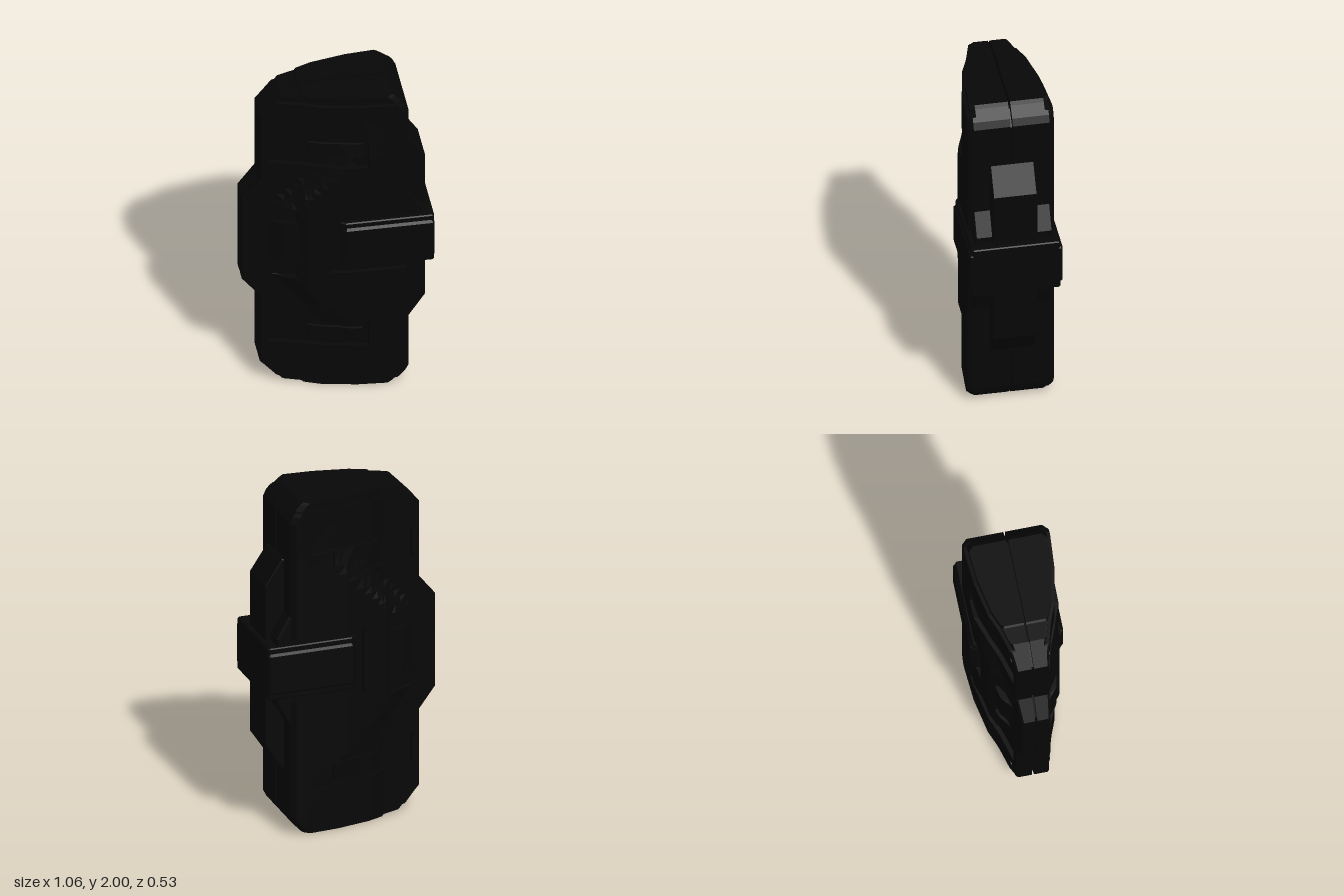
import * as THREE from 'three';

const black = new THREE.MeshStandardMaterial({ color: 0x070707 });
black.name = 'matte black';
black.flatShading = true;

// Piecewise linear lookup through [input, output] pairs
function lerpTable(table, v) {
  if (v <= table[0][0]) return table[0][1];
  for (let i = 1; i < table.length; i++) {
    const [a, p] = table[i - 1], [b, q] = table[i];
    if (v <= b) return p + (q - p) * (v - a) / (b - a);
  }
  return table[table.length - 1][1];
}

// Half thickness across x: the central bulge, and the slimmer ends
const bulge = [[-0.53, 0.08], [-0.38, 0.1], [-0.3, 0.16], [-0.23, 0.175], [-0.19, 0.2],
  [0, 0.23], [0.05, 0.241], [0.39, 0.245]];
const slim = [[-0.53, 0.08], [-0.38, 0.1], [-0.2, 0.15], [-0.1, 0.19], [0.1, 0.23], [0.3, 0.245]];
// Left / right outline by distance from mid height
const leftEdge = [[0.28, -0.53], [0.4, -0.43], [0.86, -0.43], [0.985, -0.31], [0.99, -0.21], [1, -0.2]];
const rightEdge = [[0.89, 0.39], [0.93, 0.37], [0.985, 0.32], [1, 0.3]];
const GAP = 0.006;

// Recesses: x from, x to, |y - 1| from, |y - 1| to, depth (negative raises)
const recesses = [
  [-0.38, 0.16, 0.535, 0.715, 0.025],
  [-0.17, 0.13, 0.59, 0.69, -0.012],
  [-0.05, 0.6, -1, 0.19, 0.02],
];
// Grooves cut through the bulge down to the slim profile
const groove = [-0.38, -0.23, 0.135, 0.24];

const inside = ([x0, x1, v0, v1], x, v) =>
  x > x0 + 0.001 && x < x1 - 0.001 && v > v0 + 0.001 && v < v1 - 0.001;

function surfaceZ(x, v) {
  // the bulge fades out past a diagonal fold
  const fade = inside(groove, x, v) ? 1 : THREE.MathUtils.clamp((v - x - 0.5) / 0.12, 0, 1);
  let z = THREE.MathUtils.lerp(lerpTable(bulge, x), lerpTable(slim, x), fade);
  for (const r of recesses) if (inside(r, x, v)) z -= r[4];
  return v > 0.951 ? z - 0.02 : z;
}

// One half shell, lofted upward from horizontal cross-sections
function shellGeometry(side) {
  const xs = [-0.43, -0.34, -0.3, -0.26, -0.19, -0.14, -0.1, 0, 0.05, 0.1, 0.3];
  const vs = [0, 0.28, 0.32, 0.36, 0.4, 0.44, 0.5, 0.6, 0.86, 0.89, 0.93, 0.95, 0.953, 0.985, 0.99, 1];
  for (const [x0, x1, v0, v1] of [...recesses, groove]) {
    xs.push(x0, x0 + 0.003);
    if (x1 < 0.4) xs.push(x1 - 0.003, x1);
    if (v0 > 0) vs.push(v0, v0 + 0.003);
    vs.push(v1 - 0.003, v1);
  }
  xs.sort((a, b) => a - b);
  vs.sort((a, b) => a - b);
  const levels = [...vs.slice(1).reverse().map(v => -v), ...vs];

  const rows = levels.map(level => {
    const v = Math.abs(level), l = lerpTable(leftEdge, v), r = lerpTable(rightEdge, v);
    const row = [[l, GAP], [l, surfaceZ(l, v) - 0.01]];
    for (const x of [l + 0.01, ...xs, r - 0.03]) {
      const cx = Math.min(Math.max(x, l + 0.01), r - 0.03);
      row.push([cx, surfaceZ(cx, v)]);
    }
    row.push([r, surfaceZ(r, v) - 0.03], [r, GAP]);
    return row.map(([x, z]) => [x, 1 + level, z * side]);
  });
  // flat end caps
  const cap = row => row.map(([x, y]) => [x, y, GAP * side]);
  rows.unshift(cap(rows[0]));
  rows.push(cap(rows[rows.length - 1]));

  const n = rows[0].length, index = [];
  for (let i = 0; i < rows.length - 1; i++) {
    for (let j = 0; j < n; j++) {
      const a = i * n + j, b = i * n + (j + 1) % n, c = a + n, d = b + n;
      if (side > 0) index.push(a, b, c, b, d, c);
      else index.push(a, c, b, b, c, d);
    }
  }
  let g = new THREE.BufferGeometry();
  g.setAttribute('position', new THREE.Float32BufferAttribute(rows.flat(2), 3));
  g.setIndex(index);
  g = g.toNonIndexed();
  g.computeVertexNormals();
  return g;
}

// Outline in x and y, extruded evenly about z = 0
function plate(points, halfDepth, bevel) {
  const shape = new THREE.Shape(points.map(([x, y]) => new THREE.Vector2(x, y)));
  const g = new THREE.ExtrudeGeometry(shape, {
    depth: 2 * (halfDepth - bevel), bevelEnabled: bevel > 0,
    bevelSize: bevel, bevelOffset: -bevel, bevelThickness: bevel, bevelSegments: 1,
  });
  return g.translate(0, 0, bevel - halfDepth);
}

// Block with sloped front corners seen from above, laid flat at clamp height
function clampBlock(halfZ, halfY, bevel) {
  return plate([[0, -0.23], [0.03, -halfZ], [0.52, -halfZ], [0.53, 0.01 - halfZ],
    [0.53, halfZ - 0.01], [0.52, halfZ], [0.03, halfZ], [0, 0.23]], halfY, bevel)
    .rotateX(Math.PI / 2).translate(0, 1.007, 0);
}

export function createModel() {
  const group = new THREE.Group();
  const add = (name, geometry) => {
    const mesh = new THREE.Mesh(geometry, black);
    mesh.name = name;
    group.add(mesh);
    return mesh;
  };

  // Two shells with a seam between them, joined by an inner core
  add('frontShell', shellGeometry(1));
  add('backShell', shellGeometry(-1));
  add('innerCore', plate([[-0.5, 0.74], [-0.41, 0.62], [-0.41, 0.16], [-0.3, 0.05], [0.3, 0.05],
    [0.37, 0.13], [0.37, 1.87], [0.3, 1.95], [-0.3, 1.95], [-0.41, 1.84], [-0.41, 1.38], [-0.5, 1.26]], 0.02, 0));

  // Raised spine and the wider shoulder behind the clamp
  add('spine', plate([[0.3, 0.37], [0.4, 0.37], [0.5, 0.52], [0.5, 1.49], [0.4, 1.64], [0.3, 1.64]], 0.125, 0.005));
  add('shoulder', plate([[0.3, 0.67], [0.39, 0.67], [0.465, 0.8], [0.465, 1.2], [0.39, 1.33], [0.3, 1.33]], 0.222, 0.01));

  // Clamp wrapped round the right side, with a thicker middle band
  add('clamp', clampBlock(0.252, 0.157, 0.006));
  add('clampBand', clampBlock(0.265, 0.125, 0.014));

  // Small bolts on the sloping edge, both faces
  for (const side of [1, -1]) {
    for (const y of [0.16, 1.84]) {
      const bolt = add('bolt', new THREE.CylinderGeometry(0.025, 0.025, 0.008, 12));
      bolt.position.set(-0.345, y, side * 0.11);
      bolt.quaternion.setFromUnitVectors(new THREE.Vector3(0, 1, 0),
        new THREE.Vector3(-0.268, 0, 0.963 * side).normalize());
    }
  }
  return group;
}
